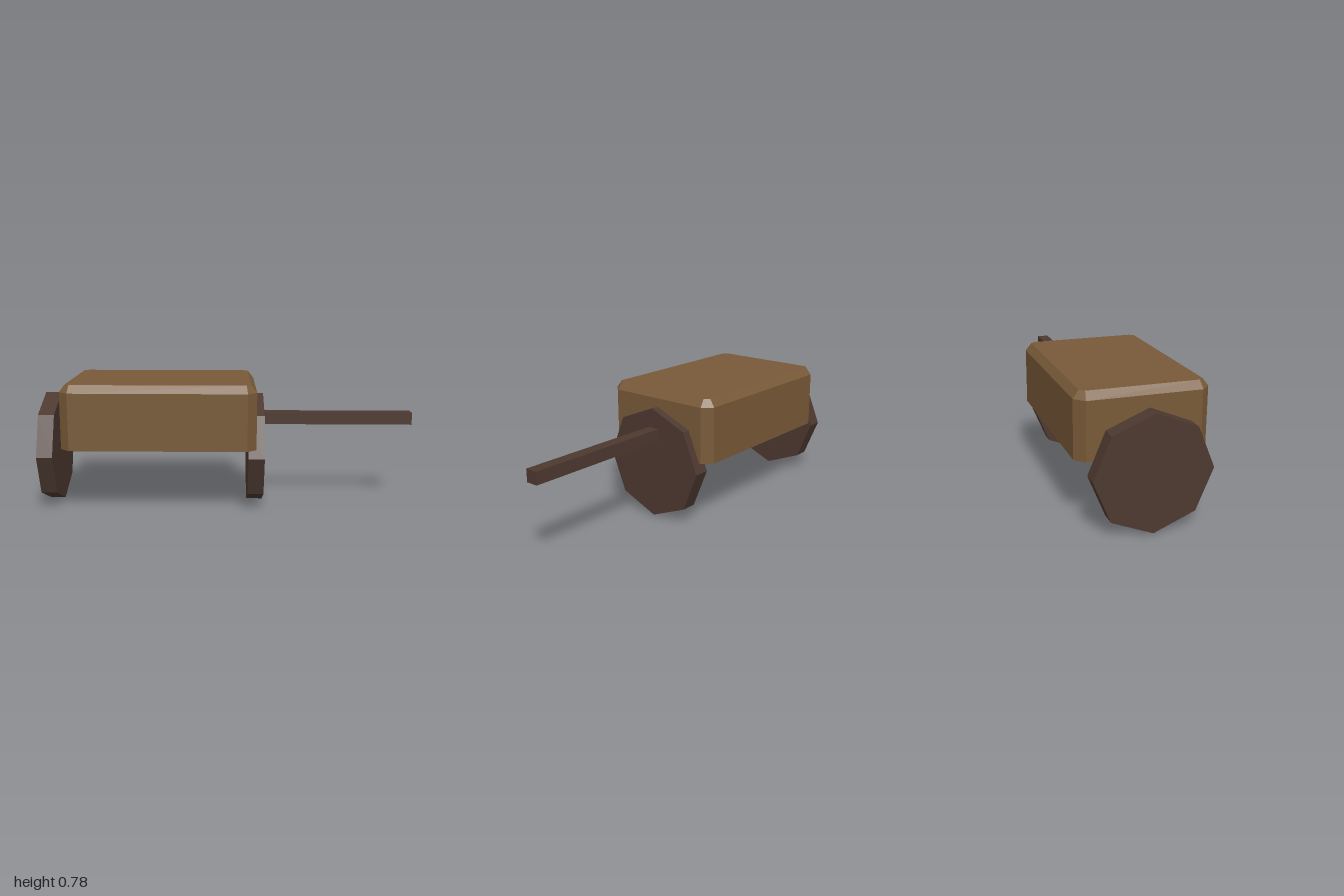
import * as THREE from 'three';

const coverMat = new THREE.MeshStandardMaterial({ color: 0x785a38, flatShading: true, side: THREE.DoubleSide });
coverMat.name = 'tan cover';
const woodMat = new THREE.MeshStandardMaterial({ color: 0x4d3930, flatShading: true });
woodMat.name = 'dark wood';

// Rectangle with cut corners, as a loop of points at height y
function ring(hw, hl, cut, y) {
  return [
    [hw, -hl + cut], [hw - cut, -hl], [-hw + cut, -hl], [-hw, -hl + cut],
    [-hw, hl - cut], [-hw + cut, hl], [hw - cut, hl], [hw, hl - cut],
  ].map(([x, z]) => [x, y, z]);
}

// Open-bottomed shell with chamfered corners and top edges
function coverGeometry() {
  const w = 0.386, l = 0.578;
  const rings = [
    ring(w, l, 0.055, 0.395),
    ring(w, l, 0.055, 0.735),
    ring(w - 0.035, l - 0.035, 0.027, 0.78),
  ];
  const pos = [];
  for (let r = 0; r < 2; r++) {
    for (let i = 0; i < 8; i++) {
      const j = (i + 1) % 8;
      const a = rings[r][i], b = rings[r][j], c = rings[r + 1][j], d = rings[r + 1][i];
      pos.push(...a, ...b, ...c, ...a, ...c, ...d);
    }
  }
  const top = rings[2];
  for (let i = 1; i < 7; i++) pos.push(...top[0], ...top[i], ...top[i + 1]);
  const geo = new THREE.BufferGeometry();
  geo.setAttribute('position', new THREE.Float32BufferAttribute(pos, 3));
  geo.computeVertexNormals();
  return geo;
}

export function createModel() {
  const model = new THREE.Group();
  model.name = 'cart';
  const add = (name, geo, mat, x, y, z) => {
    const mesh = new THREE.Mesh(geo, mat);
    mesh.name = name;
    mesh.position.set(x, y, z);
    model.add(mesh);
  };

  // Body
  add('body', coverGeometry(), coverMat, 0.028, 0, 0.262);

  // Eight-sided wheels, one across each end
  const wheel = new THREE.CylinderGeometry(0.342, 0.342, 0.096, 8).rotateX(Math.PI / 2);
  add('nearWheel', wheel, woodMat, 0.028, 0.342, 0.942);
  add('farWheel', wheel, woodMat, 0.028, 0.342, -0.318);

  // Pole sticking out of the far wheel
  add('pole', new THREE.BoxGeometry(0.075, 0.075, 0.95), woodMat, 0.015, 0.528, -0.815);

  // The whole cart stands turned on its base
  model.rotation.y = THREE.MathUtils.degToRad(-40);
  const root = new THREE.Group();
  root.name = 'turnedCart';
  root.add(model);
  return root;
}
